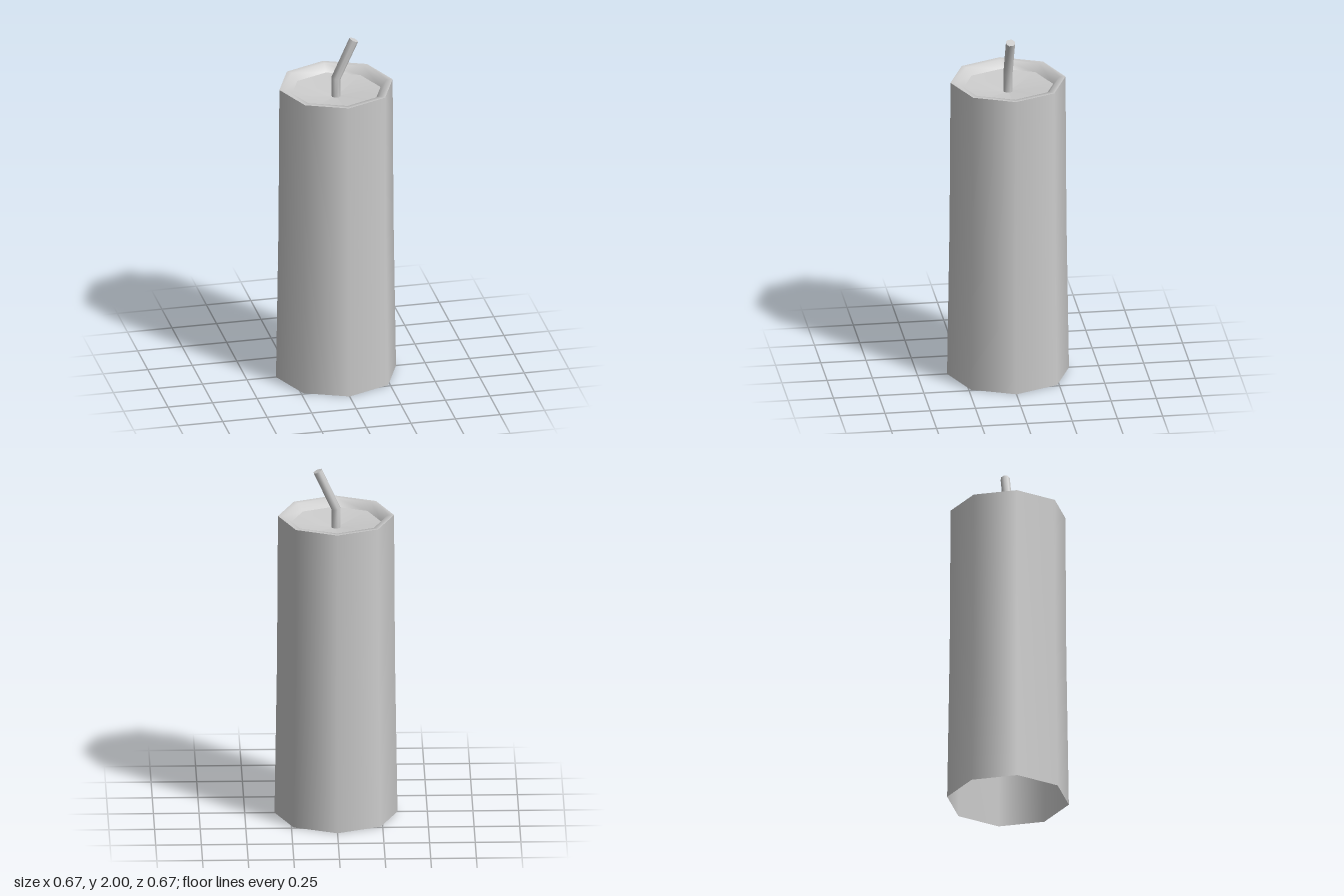
import * as THREE from 'three';

const SIDES = 8;

function material() {
  return new THREE.MeshStandardMaterial({ color: 0xcccccc, side: THREE.DoubleSide });
}

// Eight-sided smooth shell from [radius, height] pairs
function shell(name, profile) {
  const points = profile.map(([r, y]) => new THREE.Vector2(r, y));
  const mesh = new THREE.Mesh(new THREE.LatheGeometry(points, SIDES), material());
  mesh.name = name;
  return mesh;
}

// Straight stub that bends over towards +x, with a closed tip
function wick() {
  const lean = Math.atan2(0.1, 0.22);
  const rings = [
    { centre: new THREE.Vector3(0, 1.66, 0), tilt: 0 },
    { centre: new THREE.Vector3(0, 1.77, 0), tilt: lean / 2 },
    { centre: new THREE.Vector3(0.1, 1.99, 0), tilt: lean },
  ];
  const geometry = new THREE.CylinderGeometry(0.026, 0.026, 2, SIDES, 2);
  geometry.rotateY(Math.PI / SIDES);
  const { position, normal } = geometry.attributes;
  const axis = new THREE.Vector3(0, 0, 1);
  const v = new THREE.Vector3();
  for (let i = 0; i < position.count; i++) {
    v.fromBufferAttribute(position, i);
    const { centre, tilt } = rings[Math.round(v.y) + 1];
    v.setY(0).applyAxisAngle(axis, -tilt).add(centre);
    position.setXYZ(i, v.x, v.y, v.z);
    v.fromBufferAttribute(normal, i).applyAxisAngle(axis, -tilt);
    normal.setXYZ(i, v.x, v.y, v.z);
  }
  const mesh = new THREE.Mesh(geometry, material());
  mesh.name = 'wick';
  return mesh;
}

export function createModel() {
  const candle = new THREE.Group();
  candle.name = 'candle';
  candle.add(
    // Tapered outer wall, open underneath
    shell('waxBody', [[0.337, 0], [0.323, 0.9], [0.318, 1.73]]),
    // Rounded lip rolling inwards
    shell('rim', [[0.318, 1.73], [0.285, 1.73], [0.25, 1.69]]),
    // Shallow melted hollow
    shell('meltPool', [[0.25, 1.69], [0, 1.66]]),
    wick(),
  );
  return candle;
}
